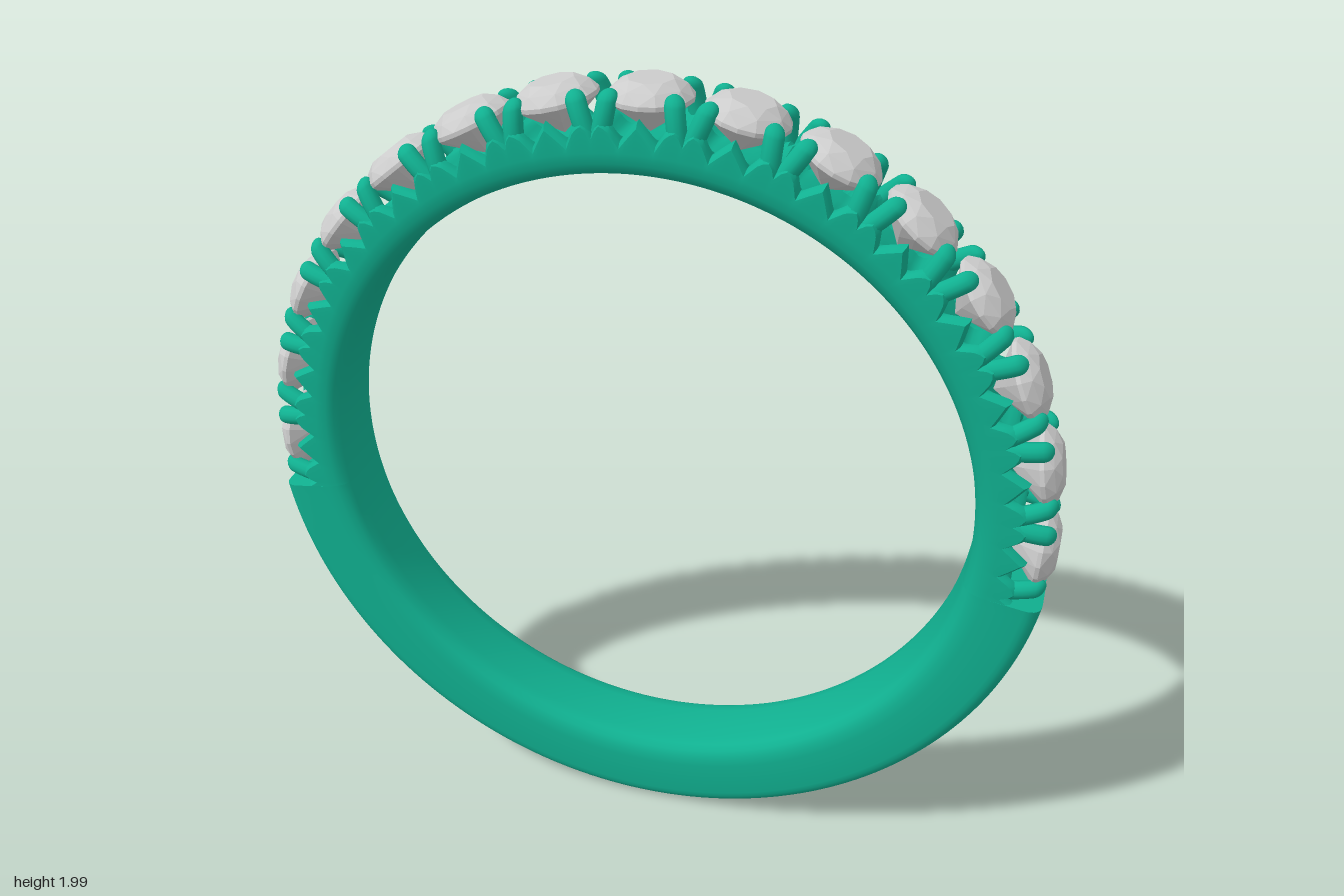
import * as THREE from 'three';
import { toCreasedNormals } from 'three/addons/utils/BufferGeometryUtils.js';
import { ConvexGeometry } from 'three/addons/geometries/ConvexGeometry.js';

const DEG = Math.PI / 180;
const STEP = 13.1 * DEG;      // angle between stones
const HEAD = 98.9 * DEG;      // half angle of the set part, measured from the top
const CENTRE = 1;

// Sweep a closed [radius, z] section around the ring, closing both ends
function sweep(section, from, to, steps) {
  const rings = [];
  for (let i = 0; i <= steps; i++) {
    const a = from + ((to - from) * i) / steps;
    rings.push(section(a).map(([r, z]) => [r * Math.sin(a), CENTRE + r * Math.cos(a), z]));
  }
  const collapse = (ring) => {
    const c = [0, 1, 2].map((k) => ring.reduce((s, p) => s + p[k], 0) / ring.length);
    return ring.map(() => c);
  };
  rings.unshift(collapse(rings[0]));
  rings.push(collapse(rings[rings.length - 1]));
  const n = rings[0].length, index = [];
  for (let i = 0; i < rings.length - 1; i++) {
    for (let j = 0; j < n; j++) {
      const k = (j + 1) % n, a = i * n, b = a + n;
      index.push(a + j, a + k, b + j, a + k, b + k, b + j);
    }
  }
  const geo = new THREE.BufferGeometry();
  geo.setAttribute('position', new THREE.Float32BufferAttribute(rings.flat(2), 3));
  geo.setIndex(index);
  return toCreasedNormals(geo, 0.6);
}

// Full section from its +z half, listed from the outside to the inside
function mirrorSection(half) {
  const back = half.slice(1, -1).reverse().map(([r, z]) => [r, -z]);
  return [...half, ...back];
}

const INNER = [[0.86, 0.11], [0.835, 0.107], [0.817, 0.098], [0.806, 0.083], [0.801, 0.055], [0.8, 0]];

function shankSection() {
  const half = [[0.995, 0], [0.994, 0.06]];
  for (let i = 0; i <= 5; i++) {
    const t = (i / 5) * 90 * DEG;
    half.push([0.953 + 0.04 * Math.cos(t), 0.075 + 0.035 * Math.sin(t)]);
  }
  return mirrorSection([...half, ...INNER]);
}

// Scalloped side wall height by phase: 0 under a stone, 0.5 in the gap
const WALL = [[0, 0.932], [0.2, 0.885], [0.32, 0.925], [0.42, 0.935], [0.5, 0.905]];
function wallRadius(p) {
  for (let i = 1; i < WALL.length; i++) {
    const [p0, r0] = WALL[i - 1], [p1, r1] = WALL[i];
    if (p <= p1) return r0 + ((r1 - r0) * (p - p0)) / (p1 - p0);
  }
  return WALL[WALL.length - 1][1];
}

function headSection(a) {
  const q = a / STEP, p = Math.abs(q - Math.round(q));
  const wall = wallRadius(p);
  const floor = 0.875 + 0.035 * THREE.MathUtils.smoothstep(p, 0.3, 0.5);
  return mirrorSection([
    [floor, 0], [floor, 0.05], [(floor + wall) / 2, 0.068],
    [wall, 0.085], [wall - 0.004, 0.1], [wall - 0.015, 0.109], ...INNER,
  ]);
}

// Faceted round stone, girdle at y = 0
function stoneGeometry() {
  const pts = [new THREE.Vector3(0, -0.08, 0)];
  const ring = (n, r, y, turn) => {
    for (let i = 0; i < n; i++) {
      const a = ((i + turn) / n) * Math.PI * 2;
      pts.push(new THREE.Vector3(r * Math.cos(a), y, r * Math.sin(a)));
    }
  };
  ring(8, 0.053, 0.04, 0);
  ring(8, 0.081, 0.025, 0.5);
  ring(16, 0.098, 0.004, 0);
  ring(16, 0.098, -0.006, 0);
  ring(8, 0.05, -0.045, 0.5);
  return new ConvexGeometry(pts);
}

// Rounded prong that leans towards its stone and curls over the girdle
function prongGeometry(sx, sz) {
  const geo = new THREE.CapsuleGeometry(0.023, 0.085, 5, 12, 6);
  const pos = geo.attributes.position;
  for (let i = 0; i < pos.count; i++) {
    const y = pos.getY(i), t = (y + 0.0655) / 0.131;
    pos.setXYZ(i,
      pos.getX(i) + sx * (0.091 - 0.02 * t),
      0.858 + 0.127 * t,
      pos.getZ(i) + sz * (0.086 - 0.022 * t * t * t));
  }
  geo.computeVertexNormals();
  return geo;
}

export function createModel() {
  const model = new THREE.Group();
  model.name = 'ring';
  const metal = new THREE.MeshStandardMaterial({ color: 0x10b090 });
  const gem = new THREE.MeshStandardMaterial({ color: 0xcccccc, flatShading: true });

  const add = (parent, name, geo, mat) => {
    const mesh = new THREE.Mesh(geo, mat);
    mesh.name = name;
    parent.add(mesh);
    return mesh;
  };

  // Plain lower band and scalloped upper band
  add(model, 'shank', sweep(shankSection, HEAD, 2 * Math.PI - HEAD, 96), metal);
  add(model, 'scallopedBand', sweep(headSection, -HEAD, HEAD, 302), metal);

  // Fifteen stones, each held by four prongs
  const stone = stoneGeometry();
  const prongs = [[1, 1], [1, -1], [-1, 1], [-1, -1]].map(([x, z]) => prongGeometry(x, z));
  for (let i = -7; i <= 7; i++) {
    const setting = new THREE.Group();
    setting.name = 'stoneSetting';
    setting.position.y = CENTRE;
    setting.rotation.z = -i * STEP;
    add(setting, 'stone', stone, gem).position.y = 0.957;
    prongs.forEach((geo) => add(setting, 'prong', geo, metal));
    model.add(setting);
  }
  return model;
}
